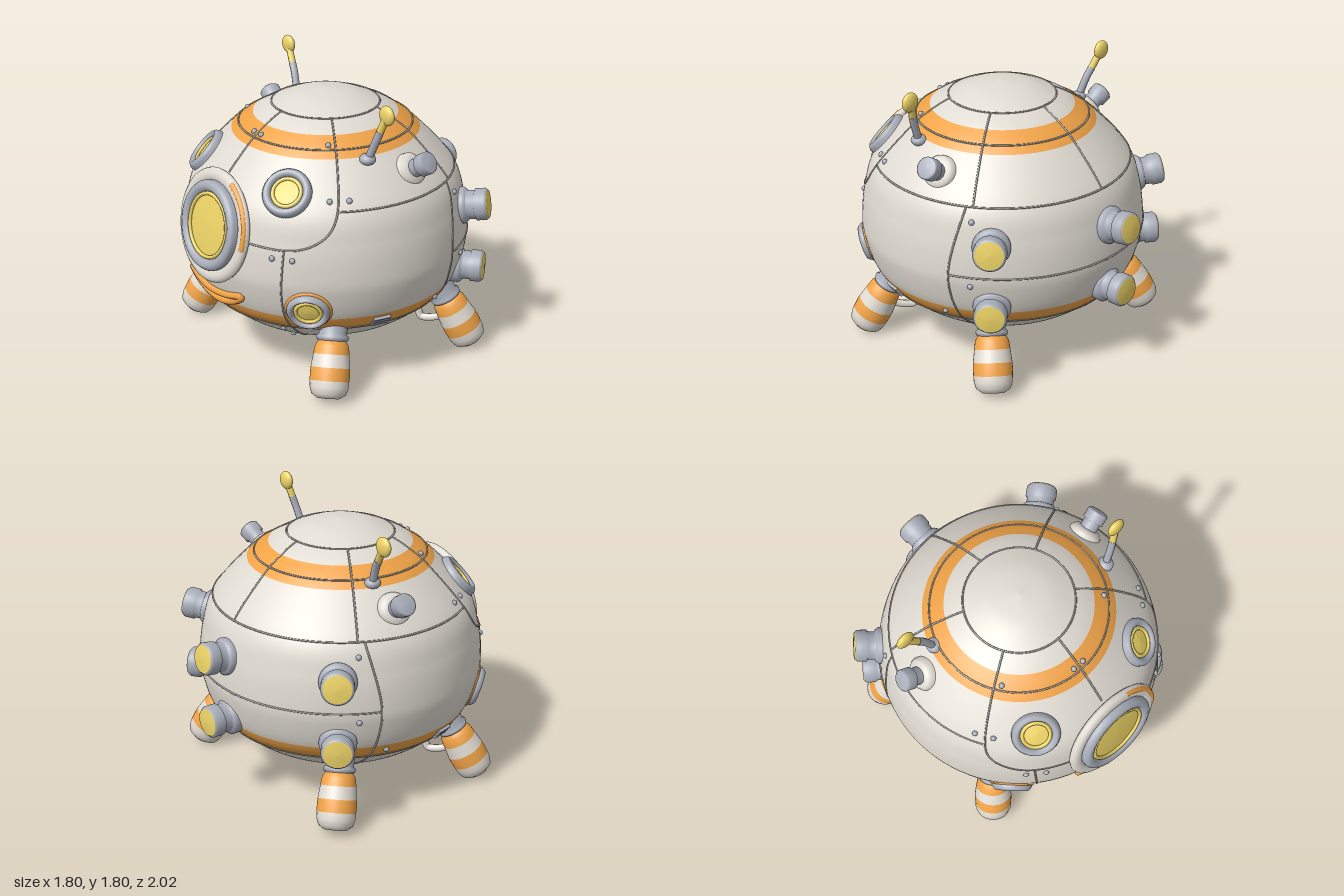
import * as THREE from 'three';

const V3 = (x, y, z) => new THREE.Vector3(x, y, z);
const V2 = (x, y) => new THREE.Vector2(x, y);
const paint = (color) => new THREE.MeshStandardMaterial({ color, side: THREE.DoubleSide });

// Hull outline as (radius, height)
const outline = new THREE.SplineCurve([
  [0.27, 0.14], [0.43, 0.2], [0.6, 0.28], [0.77, 0.42], [0.845, 0.53], [0.89, 0.68], [0.9, 0.8],
  [0.875, 1.0], [0.805, 1.2], [0.585, 1.44], [0.45, 1.54], [0.335, 1.6], [0.18, 1.66], [0, 1.685],
].map((p) => V2(...p))).getPoints(200);

function radiusAt(y) {
  const i = Math.max(1, outline.findIndex((p) => p.y >= y));
  const a = outline[i - 1], b = outline[i];
  return THREE.MathUtils.mapLinear(y, a.y, b.y, a.x, b.x);
}
// Point on the hull; the angle runs from the front (+z) towards +x
function onHull(az, y, lift = 0) {
  const r = radiusAt(y) + lift;
  return V3(r * Math.sin(az), y, r * Math.cos(az));
}

export function createModel() {
  const model = new THREE.Group();
  const white = paint(0xe0dbd2), orange = paint(0xf0a347), grey = paint(0xa9aeba);
  const yellow = paint(0xecd366), seamColor = paint(0x9b968f);

  const add = (parent, name, geometry, material) => {
    const mesh = new THREE.Mesh(geometry, material);
    mesh.name = name;
    parent.add(mesh);
    return mesh;
  };
  const tube = (points, r, closed = false, n = 40) =>
    new THREE.TubeGeometry(new THREE.CatmullRomCurve3(points, closed), n, r, 8, closed);
  // Turned part whose axis points along local +z
  const turned = (pts, n = 40) => new THREE.LatheGeometry(pts.map((p) => V2(...p)), n).rotateX(Math.PI / 2);

  const hull = new THREE.Group();
  hull.name = 'hull';
  hull.position.z = 0.05;
  model.add(hull);

  // Group on the hull surface, local +z pointing outwards
  function mount(name, az, y, slope) {
    const g = new THREE.Group();
    g.name = name;
    const k = slope ?? (radiusAt(y - 0.03) - radiusAt(y + 0.03)) / 0.06;
    g.position.copy(onHull(az, y));
    g.lookAt(g.position.clone().add(V3(Math.sin(az), k, Math.cos(az))));
    hull.add(g);
    return g;
  }

  // Shell in coloured bands
  [[0.14, 0.2, orange], [0.2, 0.42, white], [0.42, 0.52, orange], [0.52, 1.44, white],
    [1.44, 1.54, orange], [1.54, 1.685, white]].forEach(([a, b, mat]) => {
    const mid = outline.filter((p) => p.y > a + 0.001 && p.y < b - 0.0005);
    const pts = [V2(radiusAt(a), a), ...mid, V2(b === 1.685 ? 0 : radiusAt(b), b)];
    add(hull, 'shellBand', new THREE.LatheGeometry(pts, 96), mat);
  });
  add(hull, 'bottomNozzle', new THREE.CylinderGeometry(0.27, 0.27, 0.025, 48), paint(0xd9a455)).position.y = 0.137;

  // Panel seams
  const seam = (pts) => {
    const path = new THREE.SplineCurve(pts.map((p) => V2(...p))).getPoints(40);
    add(hull, 'seam', tube(path.map((p) => onHull(p.x, p.y)), 0.006, false, 80), seamColor);
  };
  [0.42, 1.48, 1.6].forEach((y) => {
    const ring = add(hull, 'ringSeam', new THREE.TorusGeometry(radiusAt(y), 0.006, 6, 96), seamColor);
    ring.rotation.x = Math.PI / 2;
    ring.position.y = y;
  });
  const PI = Math.PI;
  seam([[0, 1.6], [0, 1.3]]);
  seam([[PI, 1.6], [PI, 1.2]]);
  seam([[PI, 0.42], [PI, 0.2]]);
  seam([[1.02, 1.2], [PI, 1.2], [2 * PI - 1.02, 1.2]]);
  seam([[1.95, 0.78], [PI, 0.78], [2 * PI - 1.95, 0.78]]);
  for (const s of [-1, 1]) {
    const side = (pts) => seam(pts.map(([a, y]) => [s * a, y]));
    side([[0.39, 0.98], [0.7, 0.98], [0.9, 1.05], [1.0, 1.18], [1.03, 1.4], [1.03, 1.6]]);
    side([[0.64, 0.98], [0.62, 0.6], [0.65, 0.42], [0.7, 0.2]]);
    side([[2.1, 1.6], [2.1, 1.2]]);
    side([[2.05, 1.2], [1.95, 0.8], [2.0, 0.42], [2.1, 0.2]]);
    // Bolts near the seam corners
    [[0.07, 1.5], [0.95, 1.5], [0.7, 0.92], [0.56, 0.92], [1.1, 1.25], [0.95, 1.25], [0.56, 0.38],
      [0.56, 0.26], [1.88, 0.48], [2.1, 1.12], [2.1, 0.72]].forEach(([a, y]) =>
      add(hull, 'bolt', new THREE.SphereGeometry(0.018, 10, 8), grey).position.copy(onHull(s * a, y)));
  }

  // Portholes: bezel, inner rim and glass
  function porthole(name, az, y, R, r) {
    const g = mount(name, az, y);
    const m = (R + r) / 2;
    add(g, 'bezel', turned([[R, -0.08], [R, 0.01], [R - 0.012, 0.028], [m, 0.038], [r + 0.01, 0.028], [r, 0.012], [r, -0.02]], 48), grey);
    add(g, 'innerRim', new THREE.TorusGeometry(r - 0.012, 0.012, 8, 48), yellow).position.z = 0.012;
    add(g, 'glass', turned([[r, 0.004], [r * 0.6, 0.012], [0, 0.016]], 48), yellow);
    return g;
  }
  const main = porthole('mainPorthole', 0, 0.995, 0.275, 0.205);
  const pad = add(main, 'paddedSurround', new THREE.TorusGeometry(0.305, 0.045, 12, 64), white);
  pad.scale.z = 0.7;
  pad.position.z = -0.035;
  const trim = add(main, 'surroundTrim', new THREE.TorusGeometry(0.325, 0.02, 8, 32, 1.3), orange);
  trim.position.z = -0.022;
  trim.rotation.z = -0.15;
  for (const s of [-1, 1]) {
    porthole('upperPorthole', s * 0.614, 1.28, 0.148, 0.097);
    const low = porthole('lowerPorthole', s * 0.8, 0.585, 0.13, 0.088);
    add(low, 'portholeTrim', new THREE.TorusGeometry(0.125, 0.022, 8, 40), orange).position.z = -0.02;
  }

  // Smile-shaped trim
  const smile = [];
  for (let i = 0; i < 40; i++) {
    const t = (i / 40) * PI * 2, x = 0.265 * Math.cos(t);
    const y = 0.535 + x * x + 0.03 * Math.sin(t);
    smile.push(onHull(Math.asin(x / radiusAt(y)), y, 0.008));
  }
  add(hull, 'smileTrim', tube(smile, 0.022, true, 120), orange);

  // Rear thruster pods, two rows of three
  for (const az of [PI - 0.9, PI, PI + 0.9]) {
    for (const [y, slope] of [[0.985, 0.16], [0.575, 0.02]]) {
      const g = mount('thrusterPod', az, y, slope);
      add(g, 'podBody', turned([[0.11, -0.06], [0.115, 0.01], [0.1, 0.03], [0.088, 0.035], [0.09, 0.08], [0.1, 0.085],
        [0.1, 0.145], [0.09, 0.158], [0.08, 0.16]]), grey);
      add(g, 'podEnd', turned([[0.088, 0.155], [0.085, 0.163], [0, 0.168]]), yellow);
    }
  }

  for (const s of [-1, 1]) {
    // Small side knobs
    const knob = mount('sideKnob', s * 1.75, 1.33, 0.62);
    add(knob, 'knobBase', turned([[0.11, -0.06], [0.105, 0], [0.085, 0.025], [0.055, 0.03]]), white);
    add(knob, 'knobBody', turned([[0.055, 0], [0.055, 0.08], [0.068, 0.085], [0.068, 0.145], [0.058, 0.155], [0, 0.158]]), grey);
    // Side vents
    const vent = mount('sideVent', s * 1.34, 0.465);
    for (const i of [-1, 0, 1]) {
      add(vent, 'ventSlat', new THREE.BoxGeometry(0.11, 0.016, 0.03), grey).position.y = i * 0.028;
    }
  }

  // Antennae with flattened round tips
  [[[-0.53, 1.45, -0.12], [-0.585, 1.58, -0.14], [-0.69, 1.745, -0.17]],
    [[0.59, 1.42, 0.19], [0.645, 1.56, 0.17], [0.7, 1.72, 0.14]]].forEach((p) => {
    const [base, bend, tip] = p.map((q) => V3(...q));
    const antenna = new THREE.Group();
    antenna.name = 'antenna';
    model.add(antenna);
    const neck = bend.clone().lerp(tip, 0.35);
    add(antenna, 'antennaRod', tube([base, bend, neck], 0.024), grey);
    add(antenna, 'antennaNeck', tube([neck, tip], 0.023), yellow);
    const ball = add(antenna, 'antennaTip', new THREE.SphereGeometry(0.06, 24, 16), yellow);
    ball.scale.z = 0.5;
    ball.position.copy(tip);
    const foot = add(antenna, 'antennaBase', new THREE.SphereGeometry(0.05, 20, 12), grey);
    foot.scale.y = 0.7;
    foot.position.copy(base).add(V3(0, 0.01, 0));
  });

  // Striped legs with flat soles, collars and handles
  const legBands = [
    [white, [[0, -0.01], [0.07, -0.005], [0.105, 0.02], [0.118, 0.06], [0.12, 0.1]]],
    [orange, [[0.12, 0.1], [0.122, 0.14], [0.12, 0.18]]],
    [white, [[0.12, 0.18], [0.115, 0.22], [0.11, 0.26]]],
    [orange, [[0.11, 0.26], [0.103, 0.31], [0.085, 0.34], [0.075, 0.345]]],
    [grey, [[0.075, 0.335], [0.095, 0.345], [0.1, 0.365], [0.085, 0.38], [0.09, 0.46]]],
  ];
  for (const sx of [-1, 1]) for (const sz of [-1, 1]) {
    const leg = new THREE.Group();
    leg.name = 'leg';
    leg.position.z = 0.02;
    model.add(leg);
    const at = (x, y, z) => V3(sx * x, y, sz * z);
    const foot = at(0.745, 0.035, 0.58);
    const axis = at(0.62, 0.36, 0.45).sub(foot).normalize();
    const turn = new THREE.Quaternion().setFromUnitVectors(V3(0, 1, 0), axis);
    legBands.forEach(([mat, pts]) => {
      const g = new THREE.LatheGeometry(pts.map((p) => V2(...p)), 32).applyQuaternion(turn).translate(...foot.toArray());
      const pos = g.attributes.position;
      for (let i = 0; i < pos.count; i++) pos.setY(i, Math.max(0, pos.getY(i)));
      add(leg, 'legBand', g, mat);
    });
    add(leg, 'legHandle', tube([at(0.64, 0.21, 0.5), at(0.53, 0.16, 0.42), at(0.47, 0.16, 0.385), at(0.455, 0.27, 0.375)], 0.025), white);
  }
  return model;
}
